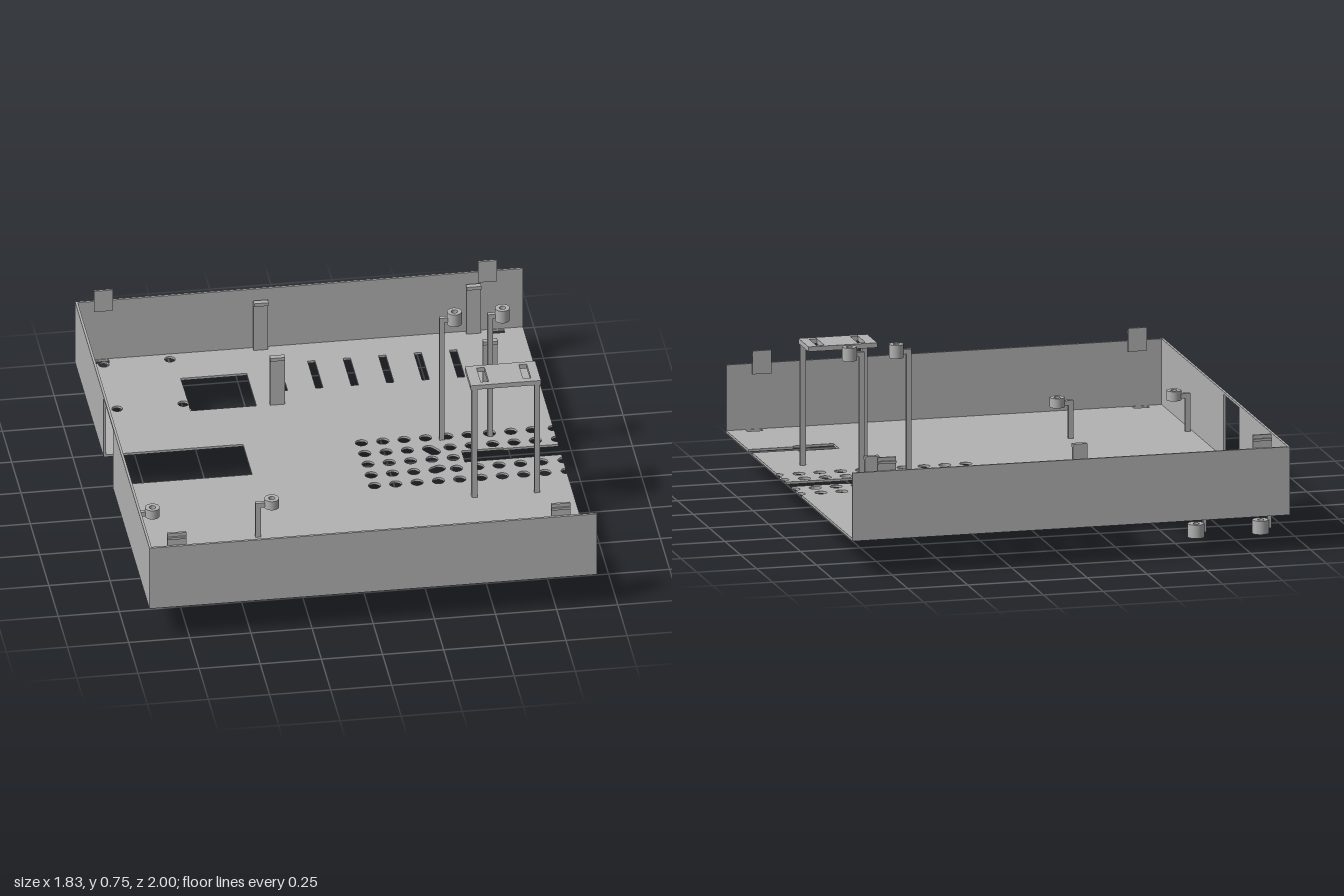
import * as THREE from 'three';

const metal = new THREE.MeshStandardMaterial({ color: 0xb2b2b2 });
metal.name = 'sheet metal grey';

const FLOOR = 0.15, TOP = 0.433, T = 0.01, W = 0.915;

export function createModel() {
  const model = new THREE.Group();
  model.name = 'chassisTray';

  const add = (name, geometry, parent = model) => {
    const mesh = new THREE.Mesh(geometry, metal);
    mesh.name = name;
    parent.add(mesh);
    return mesh;
  };
  // box given by its limits on each axis
  const box = (name, x0, x1, y0, y1, z0, z1, parent) => {
    const mesh = add(name, new THREE.BoxGeometry(x1 - x0, y1 - y0, z1 - z0), parent);
    mesh.position.set((x0 + x1) / 2, (y0 + y1) / 2, (z0 + z1) / 2);
    return mesh;
  };
  // horizontal plate from a shape drawn in (x, -z)
  const plate = (name, shape, y, thickness, parent) => {
    const geometry = new THREE.ExtrudeGeometry(shape, { depth: thickness, bevelEnabled: false, curveSegments: 10 });
    geometry.rotateX(-Math.PI / 2);
    const mesh = add(name, geometry, parent);
    mesh.position.y = y;
    return mesh;
  };
  const rectPath = (x0, x1, z0, z1, Type = THREE.Path) => new Type([
    [x0, -z1], [x1, -z1], [x1, -z0], [x0, -z0],
  ].map(([x, y]) => new THREE.Vector2(x, y)));
  const circlePath = (x, z, r) => new THREE.Path().absarc(x, -z, r, 0, Math.PI * 2, false);
  // round hole stretched towards a second centre
  const stretchedPath = (x0, z0, x1, z1, r) => {
    const a = Math.atan2(z0 - z1, x1 - x0);
    return new THREE.Path()
      .absarc(x1, -z1, r, a - Math.PI / 2, a + Math.PI / 2, false)
      .absarc(x0, -z0, r, a + Math.PI / 2, a + Math.PI * 1.5, false)
      .closePath();
  };

  // floor outline with side slots, edge scallops and the large side notch
  const R = 0.025;
  const floor = new THREE.Shape();
  const line = (points) => points.forEach(([x, z]) => floor.lineTo(x, -z));
  const scallop = (z) => {
    floor.lineTo(W, -z - 0.022);
    floor.absarc(W, -z, 0.022, -Math.PI / 2, Math.PI / 2, true);
  };
  floor.moveTo(-W, -1);
  line([[W, 1], [W, 0.645], [0.725, 0.645], [0.725, 0.66], [0.555, 0.66],
    [0.555, 0.57], [0.725, 0.57], [0.725, 0.585], [W, 0.585]]);
  scallop(0.177);
  scallop(0.09);
  line([[W, 0.045], [0.52, 0.045], [0.52, -0.045], [0.69, -0.045], [0.69, -0.038], [W, -0.038]]);
  scallop(-0.083);
  scallop(-0.17);
  line([[W, -1], [-W, -1], [-W, -0.23], [-0.345, -0.23], [-0.345, 0.015], [-W, 0.015]]);
  floor.closePath();

  // perforated field
  [-0.17, -0.083, 0.003, 0.09, 0.177].forEach((z, row) => {
    for (let i = 0; i < (row === 2 ? 5 : 9); i++) {
      const x = 0.13 + i * 0.0872;
      if (i === 3 && row === 1) floor.holes.push(stretchedPath(x, z, 0.41, -0.055, R));
      else if (i === 3 && row === 3) floor.holes.push(stretchedPath(x, z, 0.41, 0.08, R));
      else floor.holes.push(circlePath(x, z, R));
    }
  });
  // vent slots, square opening, clip holes
  for (let i = 0; i < 6; i++) {
    const x = -0.117 + i * 0.145;
    floor.holes.push(rectPath(x - 0.015, x + 0.015, -0.85, -0.63));
  }
  floor.holes.push(rectPath(-0.515, -0.245, -0.79, -0.527));
  for (const [x0, x1] of [[-0.845, -0.78], [0.77, 0.836]]) {
    floor.holes.push(rectPath(x0, x1, 0.955, 0.987), rectPath(x0, x1, -0.987, -0.957));
  }
  // hanging ring positions
  const hanging = [];
  for (const x of [-0.805, -0.535]) for (const z of [-0.948, -0.588]) hanging.push([x, z]);
  hanging.forEach(([x, z]) => floor.holes.push(circlePath(x, z, 0.022)));
  plate('floor', floor, FLOOR, T);

  // walls; the side wall keeps a thin strip above its opening
  box('frontWall', -W, W, FLOOR, TOP, 1 - T, 1);
  box('backWall', -W, W, FLOOR, TOP, -1, -1 + T);
  box('sideWallBack', -W, -W + T, FLOOR, TOP, -1, -0.23);
  box('sideWallFront', -W, -W + T, FLOOR, TOP, 0.015, 1);
  box('sideWallStrip', -W, -W + T, TOP - 0.01, TOP, -0.23, 0.015);

  // clips standing above the front and back walls
  for (const s of [1, -1]) {
    for (const x of [-0.84, 0.73]) {
      const clip = new THREE.Group();
      clip.name = 'wallClip';
      model.add(clip);
      const span = (a, b) => [Math.min(s * a, s * b), Math.max(s * a, s * b)];
      box('clipPlate', x, x + 0.078, 0.39, 0.487, ...span(0.978, 0.988), clip);
      box('clipLip', x, x + 0.078, 0.462, 0.472, ...span(0.98, 0.996), clip);
    }
  }

  // hooked upright tabs
  for (const x of [-0.16, 0.71]) {
    for (const z of [-0.97, -0.526]) {
      const tab = new THREE.Group();
      tab.name = 'uprightTab';
      model.add(tab);
      box('tabStem', x - 0.03, x + 0.03, FLOOR + T, 0.385, z - 0.009, z + 0.004, tab);
      box('tabHook', x - 0.03, x + 0.03, 0.37, 0.385, z, z + 0.015, tab);
    }
  }

  // open ring with a vertical bore
  const ring = (x, z, y0, y1, r, parent) => {
    const profile = [[0.013, y0], [r, y0], [r, y1], [0.013, y1], [0.013, y0]];
    // separate bands keep the rims sharp
    for (let i = 0; i < 4; i++) {
      const points = [profile[i], profile[i + 1]].map(([a, b]) => new THREE.Vector2(a, b));
      add('ringBand', new THREE.LatheGeometry(points, 24), parent).position.set(x, 0, z);
    }
  };
  // ring on the end of a short arm carried by a post
  const ringPost = (x, z, y0, y1, armY, stemX) => {
    const post = new THREE.Group();
    post.name = 'ringPost';
    model.add(post);
    ring(x, z, y0, y1, 0.03, post);
    box('postStem', stemX, stemX + 0.021, FLOOR + T, armY, z - 0.009, z + 0.009, post);
    box('postArm', stemX + 0.021, x - 0.025, armY - 0.02, armY, z - 0.009, z + 0.009, post);
  };
  ringPost(0.507, -0.15, 0.697, 0.753, 0.73, 0.445);
  ringPost(0.703, -0.15, 0.697, 0.753, 0.73, 0.642);
  ringPost(-0.828, 0.507, 0.293, 0.333, 0.318, -0.895);
  ringPost(-0.34, 0.507, 0.293, 0.333, 0.318, -0.407);

  // rings hanging under the floor
  hanging.forEach(([x, z]) => {
    const hanger = new THREE.Group();
    hanger.name = 'hangingRing';
    model.add(hanger);
    ring(x, z, 0.07, 0.126, 0.034, hanger);
    box('hangerStem', x - 0.042, x - 0.027, 0.09, FLOOR, z - 0.01, z + 0.01, hanger);
  });

  // raised slotted platform on two posts
  const platform = new THREE.Group();
  platform.name = 'platform';
  model.add(platform);
  const deck = rectPath(0.5, 0.788, 0.175, 0.333, THREE.Shape);
  deck.holes.push(rectPath(0.545, 0.577, 0.195, 0.308), rectPath(0.718, 0.75, 0.195, 0.308));
  plate('platformDeck', deck, 0.664, 0.02, platform);
  for (const x of [0.505, 0.761]) box('platformPost', x, x + 0.023, FLOOR + T, 0.664, 0.315, 0.333, platform);

  // two-legged brackets under the floor
  for (const x of [-0.56, -0.363]) {
    const bracket = new THREE.Group();
    bracket.name = 'footBracket';
    model.add(bracket);
    const x0 = x - 0.017, x1 = x + 0.017;
    box('rearLeg', x0, x1, 0, 0.126, 0.542, 0.552, bracket);
    box('frontLeg', x0, x1, 0, FLOOR, 0.694, 0.704, bracket);
    box('crossBar', x0, x1, 0.112, 0.126, 0.552, 0.694, bracket);
    box('rearToe', x0, x1, 0, 0.008, 0.552, 0.558, bracket);
    box('frontToe', x0, x1, 0, 0.008, 0.686, 0.694, bracket);
  }

  return model;
}
